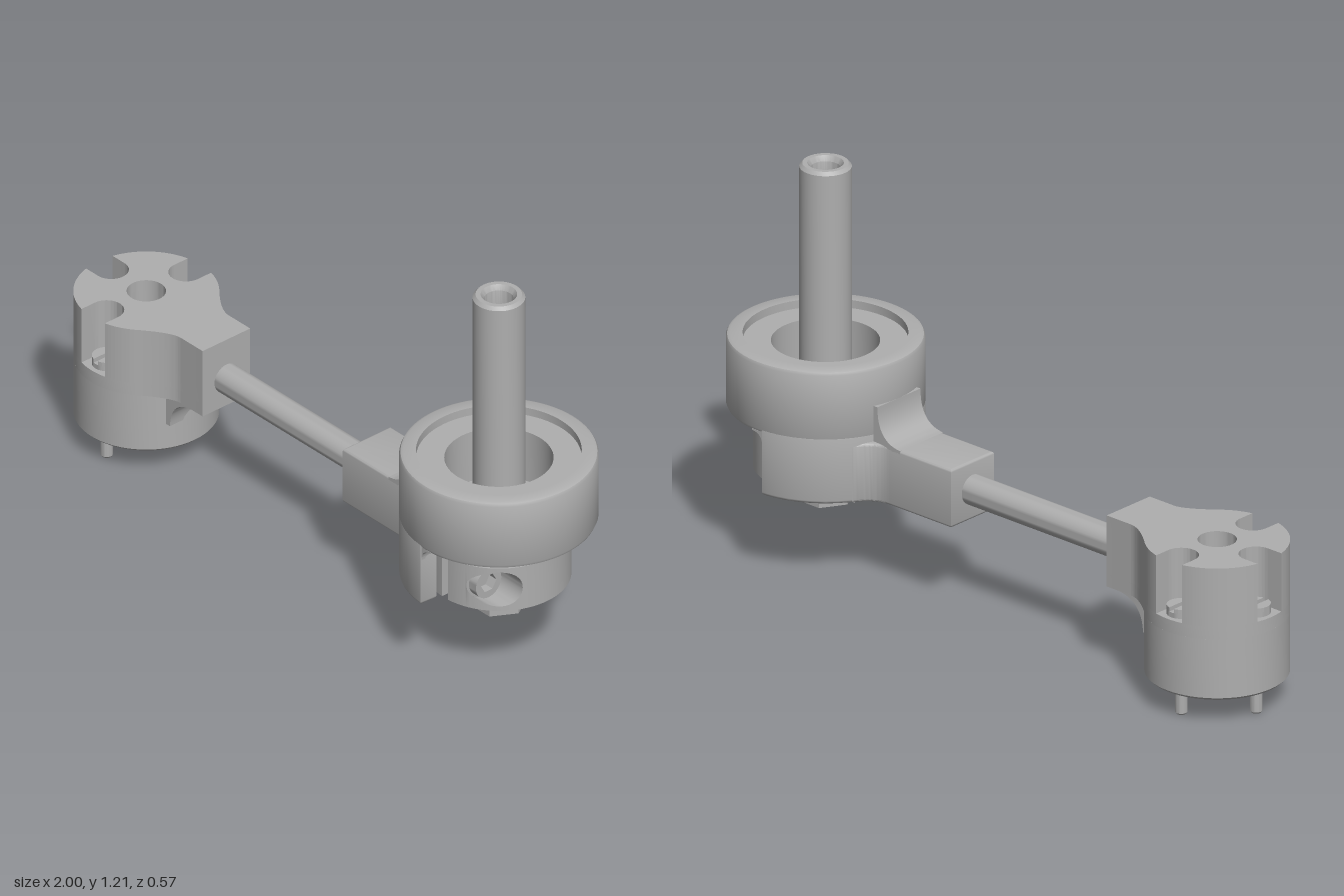
import * as THREE from 'three';
import { toCreasedNormals } from 'three/addons/utils/BufferGeometryUtils.js';

const RAD = Math.PI / 180;
const HUB_X = -0.793, HUB_R = 0.207;   // pinned hub
const HEAD_X = 0.717, HEAD_R = 0.283;  // bearing housing

export function createModel() {
  const root = new THREE.Group();
  root.name = 'crankArmAssembly';
  const metal = new THREE.MeshStandardMaterial({ color: 0xaeaeae });
  metal.name = 'grey metal';

  const add = (parent, name, geo, x = 0, y = 0, z = 0) => {
    const mesh = new THREE.Mesh(toCreasedNormals(geo, 0.6), metal);
    mesh.name = name;
    mesh.position.set(x, y, z);
    parent.add(mesh);
    return mesh;
  };
  const group = (name, x) => {
    const g = new THREE.Group();
    g.name = name;
    g.position.x = x;
    root.add(g);
    return g;
  };
  const lathe = (pts, seg = 64) =>
    new THREE.LatheGeometry(pts.map(p => new THREE.Vector2(p[0], p[1])), seg);
  // Plan outline raised from y0 to y1
  const raise = (shape, y0, y1, b = 0) => new THREE.ExtrudeGeometry(shape, {
    depth: y1 - y0 - 2 * b, curveSegments: 24, bevelEnabled: b > 0,
    bevelSize: b, bevelThickness: b, bevelOffset: -b, bevelSegments: 3,
  }).rotateX(-Math.PI / 2).translate(0, y0 + b, 0);
  // Side profile given thickness along z
  const across = (shape, z0, z1) => new THREE.ExtrudeGeometry(shape, {
    depth: z1 - z0, curveSegments: 16, bevelEnabled: false,
  }).translate(0, 0, z0);

  // ---- Pinned hub with its arm socket ----
  const hub = group('pinnedHub', HUB_X);
  const hubOutline = slotted => {
    const s = new THREE.Shape();
    const d = Math.asin(0.05 / HUB_R);
    s.moveTo(0.343, -0.09);
    s.lineTo(0.343, 0.09);
    s.lineTo(0.25, 0.09);
    s.quadraticCurveTo(0.213, 0.09, HUB_R * Math.cos(50 * RAD), HUB_R * Math.sin(50 * RAD));
    let from = 50 * RAD;
    if (slotted) for (const deg of [90, 180, 270]) {
      const a = deg * RAD;
      s.absarc(0, 0, HUB_R, from, a - d, false);
      s.absarc(0.15 * Math.cos(a), 0.15 * Math.sin(a), 0.05, a - Math.PI / 2, a - Math.PI * 1.5, true);
      from = a + d;
    }
    s.absarc(0, 0, HUB_R, from, 310 * RAD, false);
    s.quadraticCurveTo(0.213, -0.09, 0.25, -0.09);
    s.holes.push(new THREE.Path().absarc(0, 0, 0.056, 0, Math.PI * 2, true));
    return s;
  };
  add(hub, 'hubSlottedTop', raise(hubOutline(true), 0.31, 0.49));
  add(hub, 'hubMiddle', raise(hubOutline(false), 0.27, 0.31));
  add(hub, 'hubBase', lathe([[0.056, 0.08], [HUB_R - 0.008, 0.08], [HUB_R, 0.088],
    [HUB_R, 0.27], [0.056, 0.27], [0.056, 0.08]]));
  const web = new THREE.Shape();
  web.moveTo(0.1, 0.275);
  web.lineTo(0.1, 0.17);
  web.lineTo(0.203, 0.17);
  web.quadraticCurveTo(0.208, 0.265, 0.3, 0.27);
  web.lineTo(0.3, 0.275);
  add(hub, 'hubWeb', across(web, -0.09, 0.09));

  // Slotted screws in the pockets, pins below
  for (const deg of [90, 180, 270]) {
    const x = 0.15 * Math.cos(deg * RAD), z = 0.15 * Math.sin(deg * RAD);
    add(hub, 'screwBase', new THREE.CylinderGeometry(0.042, 0.042, 0.02, 28), x, 0.315, z);
    for (const side of [0, Math.PI]) {
      const half = new THREE.Shape().absarc(0, 0, 0.042, 12 * RAD, 168 * RAD, false);
      add(hub, 'screwHeadHalf', raise(half, 0.325, 0.338).rotateY(Math.PI / 2 + side), x, 0, z);
    }
    add(hub, 'pin', lathe([[0, 0], [0.014, 0], [0.018, 0.005], [0.018, 0.09]], 20), x, 0, z);
  }

  // ---- Connecting rod ----
  add(root, 'connectingRod',
    new THREE.CylinderGeometry(0.045, 0.045, 0.64, 32, 1).rotateZ(Math.PI / 2), -0.15, 0.362, 0);

  // ---- Bearing housing with its arm socket ----
  const head = group('bearingHousing', HEAD_X);
  add(head, 'housingRing', lathe([[0.075, 0.46], [0.271, 0.46], [0.279, 0.463], [0.283, 0.472],
    [0.283, 0.668], [0.279, 0.676], [0.271, 0.68], [0.235, 0.68], [0.235, 0.655], [0.155, 0.655],
    [0.155, 0.49], [0.075, 0.49]], 80));
  const shell = new THREE.Shape();
  shell.absarc(0, 0, HEAD_R, 93 * RAD, 267 * RAD, false);
  shell.absarc(0, 0, 0.226, 267 * RAD, 93 * RAD, true);
  add(head, 'halfShell', raise(shell, 0.27, 0.48, 0.01));
  const corner = new THREE.Shape();
  corner.moveTo(-0.03, 0.465);
  corner.lineTo(-0.03, 0.42);
  corner.lineTo(-0.014, 0.42);
  corner.quadraticCurveTo(-0.014, 0.459, 0.025, 0.46);
  corner.lineTo(0.025, 0.465);
  for (const z of [-0.28, 0.23]) add(head, 'shellCorner', across(corner, z, z + 0.05));

  const socket = new THREE.Shape();
  socket.moveTo(-0.567, 0.09);
  socket.lineTo(-0.567, -0.09);
  socket.lineTo(-0.33, -0.09);
  socket.quadraticCurveTo(-0.275, -0.09, -0.24, -0.15);
  socket.lineTo(-0.24, 0.15);
  socket.quadraticCurveTo(-0.275, 0.09, -0.33, 0.09);
  add(head, 'armSocket', raise(socket, 0.27, 0.45, 0.008));
  const gusset = new THREE.Shape();
  gusset.moveTo(-0.37, 0.44);
  gusset.lineTo(-0.24, 0.44);
  gusset.lineTo(-0.24, 0.56);
  gusset.lineTo(-0.283, 0.56);
  gusset.quadraticCurveTo(-0.283, 0.455, -0.37, 0.45);
  add(head, 'armGusset', across(gusset, -0.09, 0.09));

  // ---- Shaft, spacers and nut ----
  add(head, 'shaft', lathe([[0.075, 0.28], [0.075, 1.195], [0.066, 1.205], [0.052, 1.205],
    [0.042, 1.19], [0.042, 1.12], [0, 1.1]], 40));
  add(head, 'wideSpacer', new THREE.CylinderGeometry(0.168, 0.168, 0.03, 56), 0, 0.45, 0);
  add(head, 'narrowSpacer', new THREE.CylinderGeometry(0.102, 0.102, 0.04, 48), 0, 0.423, 0);
  add(head, 'hexNut', new THREE.CylinderGeometry(0.084, 0.084, 0.105, 6).rotateY(Math.PI / 6), 0, 0.2225, 0);
  add(head, 'boltTip', lathe([[0, 0.152], [0.02, 0.155], [0.036, 0.172]], 24));

  // ---- Split clamp collar with a counterbored screw ----
  const collar = group('clampCollar', HEAD_X);
  const R = 0.206, Y0 = 0.27, Y1 = 0.412, yc = 0.342, zc = 0.135, hr = 0.057, seat = 0.079;
  const holeStart = Math.asin((zc - hr) / R) + Math.PI * 2;
  const holeEnd = Math.asin((zc + hr) / R) + Math.PI * 2;
  const first = 93 * RAD, last = 446 * RAD;
  const angles = [];
  for (let i = 0; i < 60; i++) angles.push(first + (holeStart - first) * i / 60);
  for (let i = 0; i <= 24; i++)
    angles.push(Math.asin((zc - hr * Math.cos(Math.PI * i / 24)) / R) + Math.PI * 2);
  for (let i = 1; i <= 4; i++) angles.push(holeEnd + (last - holeEnd) * i / 4);
  const rim = angles.map((a, i) => ({
    x: R * Math.cos(a), z: R * Math.sin(a),
    h: i > 60 && i < 84 ? hr * Math.sin(Math.PI * (i - 60) / 24) : 0,
    bore: i >= 60 && i <= 84,
  }));
  rim.push({ x: rim[rim.length - 1].x, z: 0.06, h: 0 }, { x: rim[0].x, z: 0.06, h: 0 });

  const pos = [];
  const quad = (a, b, c, d) => pos.push(...a, ...b, ...c, ...a, ...c, ...d);
  const wall = (a, b, la, lb, ha, hb) =>
    quad([a.x, la, a.z], [a.x, ha, a.z], [b.x, hb, b.z], [b.x, lb, b.z]);
  rim.forEach((a, i) => {
    const b = rim[(i + 1) % rim.length];
    if (!(a.bore && b.bore)) return wall(a, b, Y0, Y0, Y1, Y1);
    wall(a, b, Y0, Y0, yc - a.h, yc - b.h);
    wall(a, b, yc + a.h, yc + b.h, Y1, Y1);
    for (const s of [1, -1]) {
      const ya = yc + s * a.h, yb = yc + s * b.h;
      const ring = [[a.x, ya, a.z], [b.x, yb, b.z], [seat, yb, b.z], [seat, ya, a.z]];
      quad(...(s > 0 ? ring : ring.reverse()));
    }
  });
  const side = new THREE.BufferGeometry();
  side.setAttribute('position', new THREE.Float32BufferAttribute(pos, 3));
  add(collar, 'collarWall', side);
  const flat = sign => new THREE.ShapeGeometry(
    new THREE.Shape(rim.map(p => new THREE.Vector2(p.x, sign * p.z))));
  add(collar, 'collarTop', flat(-1).rotateX(-Math.PI / 2), 0, Y1, 0);
  add(collar, 'collarBottom', flat(1).rotateX(Math.PI / 2), 0, Y0, 0);
  add(collar, 'screwSeat', new THREE.CircleGeometry(hr, 40).rotateY(Math.PI / 2), seat, yc, zc);

  // Socket-head screw facing +x
  const cap = new THREE.Shape().absarc(0, 0, 0.048, 0, Math.PI * 2, false);
  const hex = [];
  for (let i = 0; i < 6; i++)
    hex.push(new THREE.Vector2(0.029 * Math.cos(-i * 60 * RAD), 0.029 * Math.sin(-i * 60 * RAD)));
  cap.holes.push(new THREE.Path(hex));
  add(collar, 'socketScrew', across(cap, 0, 0.03).rotateY(Math.PI / 2), seat, yc, zc);
  add(collar, 'screwShank',
    new THREE.CylinderGeometry(0.025, 0.025, 0.12, 20).rotateZ(Math.PI / 2), 0.02, yc, zc);

  return root;
}
